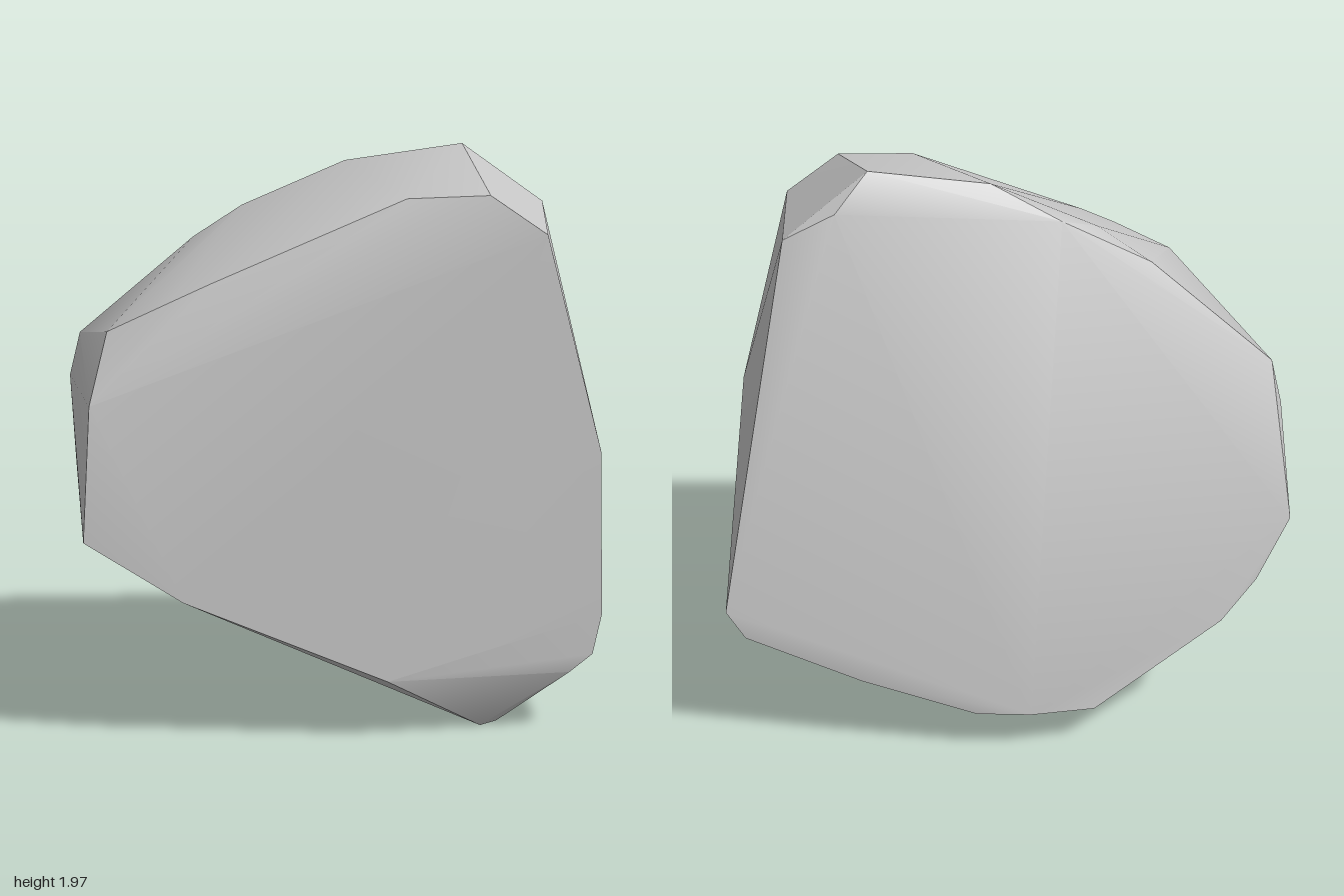
import * as THREE from 'three';
import { toCreasedNormals } from 'three/addons/utils/BufferGeometryUtils.js';
import { ConvexGeometry } from 'three/addons/geometries/ConvexGeometry.js';

// Corners of the broad front face, clockwise from the upper left
const FRONT = [
  [-0.90, 1.40, 0.45], [-0.70, 1.50, 0.52], [-0.57, 1.56, 0.54], [0.08, 1.83, 0.56],
  [0.35, 1.84, 0.60], [0.54, 1.71, 0.62], [0.73, 0.98, 0.65], [0.74, 0.42, 0.67],
  [0.71, 0.28, 0.67], [0.63, 0.22, 0.67], [0.41, 0.01, 0.53], [0.35, 0.00, 0.54],
  [0.00, 0.22, 0.67], [-0.68, 0.52, 0.64], [-1.00, 0.73, 0.61], [-0.97, 1.18, 0.60],
];

// Corners of the sloping back face, clockwise from the left
const BACK = [
  [-1.00, 1.11, -0.40], [-0.96, 1.27, -0.39], [-0.55, 1.63, -0.25], [-0.38, 1.75, -0.17],
  [-0.24, 1.79, -0.20], [-0.02, 1.91, -0.09], [0.39, 1.97, -0.02], [0.52, 1.85, -0.08],
  [0.69, 1.76, -0.03], [1.00, 0.55, -0.34], [0.94, 0.45, -0.36], [0.56, 0.28, -0.48],
  [0.18, 0.15, -0.60], [0.00, 0.15, -0.66], [-0.23, 0.14, -0.67], [-0.71, 0.40, -0.64],
  [-0.85, 0.53, -0.61], [-0.98, 0.74, -0.58],
];

export function createModel() {
  const group = new THREE.Group();
  group.name = 'rock';

  const stone = new THREE.MeshStandardMaterial({ color: 0xc5c5c5 });
  stone.name = 'pale grey stone';

  // One chiselled boulder: hull of both faces, soft over shallow bends
  const points = [...FRONT, ...BACK].map((p) => new THREE.Vector3(...p));
  const hull = new ConvexGeometry(points);
  const boulder = new THREE.Mesh(toCreasedNormals(hull, THREE.MathUtils.degToRad(32)), stone);
  boulder.name = 'boulder';
  group.add(boulder);

  return group;
}
